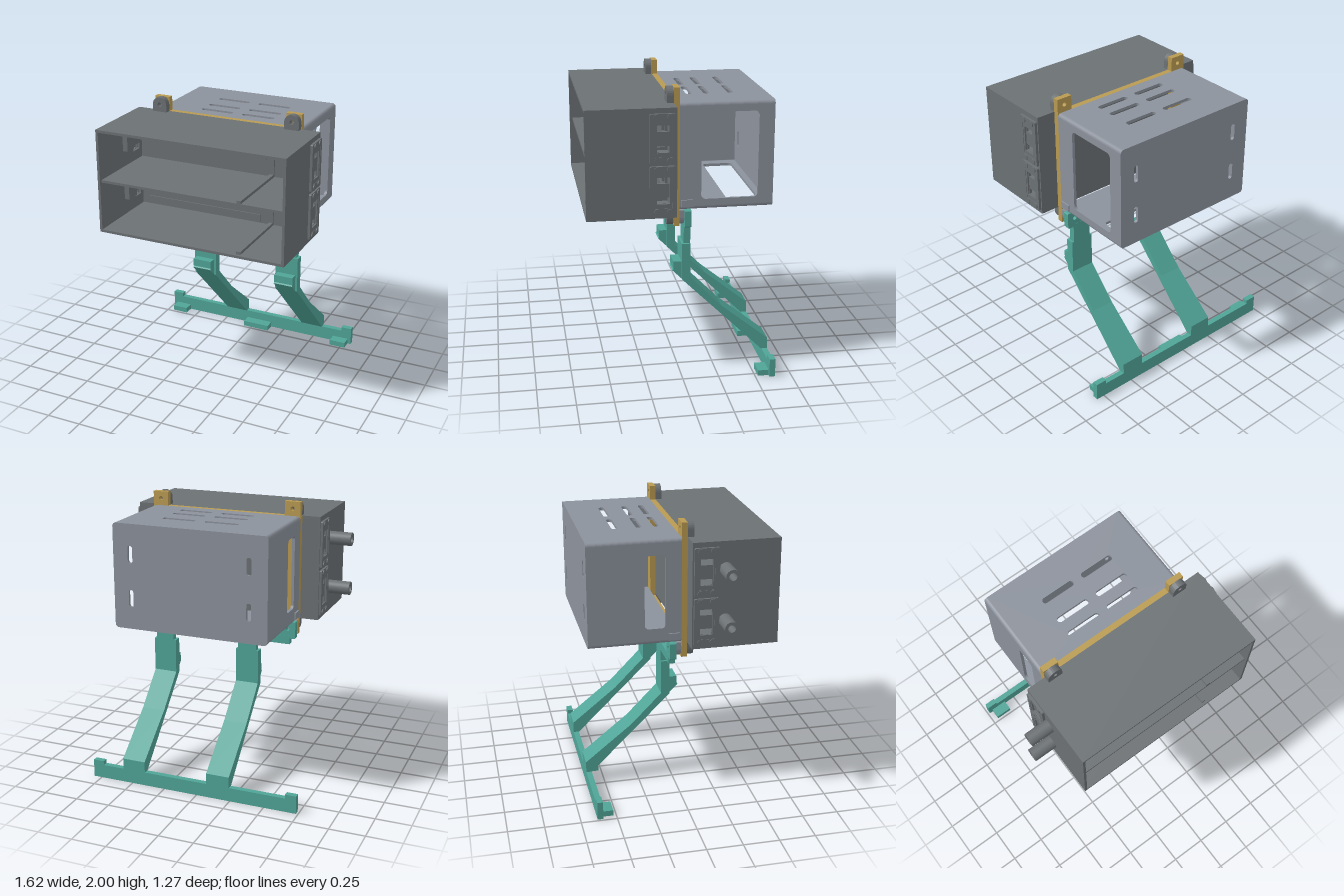
import * as THREE from 'three';

const mat = (name, color) => {
  const m = new THREE.MeshStandardMaterial({ color });
  m.name = name;
  return m;
};

// Rounded rectangle traced into a Shape or Path
function roundRect(p, u0, u1, v0, v1, r = 0) {
  if (r <= 0) {
    p.moveTo(u0, v0); p.lineTo(u1, v0); p.lineTo(u1, v1); p.lineTo(u0, v1); p.closePath();
    return p;
  }
  const q = Math.PI / 2;
  p.moveTo(u0 + r, v0);
  p.absarc(u1 - r, v0 + r, r, -q, 0);
  p.absarc(u1 - r, v1 - r, r, 0, q);
  p.absarc(u0 + r, v1 - r, r, q, 2 * q);
  p.absarc(u0 + r, v0 + r, r, 2 * q, 3 * q);
  p.closePath();
  return p;
}

// Extrude a shape from a to b along an axis: x uses (z, y), y uses (x, z), z uses (x, y)
function extrude(shape, axis, a, b) {
  const g = new THREE.ExtrudeGeometry(shape, { depth: b - a, bevelEnabled: false, curveSegments: 6 });
  const X = new THREE.Vector3(1, 0, 0), Y = new THREE.Vector3(0, 1, 0), Z = new THREE.Vector3(0, 0, 1);
  const m = new THREE.Matrix4();
  if (axis === 'x') m.makeBasis(Z, Y, X.clone().negate()).setPosition(b, 0, 0);
  else if (axis === 'y') m.makeBasis(X, Z, Y.clone().negate()).setPosition(0, b, 0);
  else m.setPosition(0, 0, a);
  return g.applyMatrix4(m);
}

export function createModel() {
  const root = new THREE.Group();
  root.name = 'mountedRack';
  const dark = mat('dark grey', 0x6c7174), light = mat('light grey', 0x8c929c);
  const tan = mat('tan', 0xb99b52), teal = mat('teal', 0x50a497);

  const add = (parent, name, geo, m) => {
    const mesh = new THREE.Mesh(geo, m);
    mesh.name = name;
    parent.add(mesh);
    return mesh;
  };
  const group = (name) => {
    const g = new THREE.Group();
    g.name = name;
    root.add(g);
    return g;
  };
  const box = (parent, name, m, x0, x1, y0, y1, z0, z1) =>
    add(parent, name, new THREE.BoxGeometry(x1 - x0, y1 - y0, z1 - z0)
      .translate((x0 + x1) / 2, (y0 + y1) / 2, (z0 + z1) / 2), m);
  const slab = (parent, name, m, axis, a, b, rect, holes = []) => {
    const s = roundRect(new THREE.Shape(), ...rect);
    holes.forEach((h) => s.holes.push(roundRect(new THREE.Path(), ...h)));
    return add(parent, name, extrude(s, axis, a, b), m);
  };
  const hole = (u, v, r) => [u - r, u + r, v - r, v + r, r];

  // Front case, open towards the front
  const front = group('frontCase');
  const x0 = -0.645, x1 = 0.725, y0 = 1.165, y1 = 1.9, t = 0.018;
  const ports = [1.7, 1.355].map((y) => [0.09, 0.175, y - 0.09, y + 0.09, 0]);
  box(front, 'caseTop', dark, x0, x1, y1 - t, y1, 0.04, 0.635);
  box(front, 'caseBottom', dark, x0, x1, y0, y0 + t, 0.04, 0.635);
  box(front, 'caseBack', dark, x0 + t, x1 - t, y0 + t, y1 - t, 0.04, 0.055);
  box(front, 'shelf', dark, x0 + t, x1 - t, 1.522, 1.54, 0.055, 0.615);
  for (const [wall, panel, a, b, c, d] of [
    ['leftWall', 'leftPortPanel', x1 - t, x1, x1, 0.742],
    ['rightWall', 'rightPortPanel', x0, x0 + t, -0.662, x0]]) {
    slab(front, wall, dark, 'x', a, b, [0.04, 0.635, y0 + t, y1 - t], ports);
    const s = c > 0 ? 1 : -1, outer = c > 0 ? d : c;
    for (const y of [1.7, 1.355]) {
      slab(front, panel, dark, 'x', c, d, [0.05, 0.22, y - 0.165, y + 0.165, 0.01],
        [[0.075, 0.19, y - 0.12, y + 0.12, 0]]);
      // Port insert, its centre block and corner screws
      slab(front, 'portFrame', dark, 'x', c + 0.003, d - 0.003, [0.075, 0.19, y - 0.12, y + 0.12],
        [[0.09, 0.175, y - 0.09, y + 0.09, 0]]);
      box(front, 'portBlock', dark, a, b, y - 0.05, y + 0.045, 0.088, 0.177);
      for (const z of [0.09, 0.175]) for (const dy of [-0.142, 0.142]) {
        add(front, 'portScrew', new THREE.CylinderGeometry(0.02, 0.02, 0.008, 16)
          .rotateZ(Math.PI / 2).translate(outer + s * 0.002, y + dy, z), dark);
      }
    }
  }
  // Compartment fittings: floor rails, ribs, stops and strips
  for (const [lo, hi] of [[y0 + t, 1.522], [1.54, y1 - t]]) {
    const mid = (lo + hi) / 2;
    box(front, 'floorRail', dark, 0.38, 0.41, lo, lo + 0.02, 0.055, 0.615);
    box(front, 'backRib', dark, 0.38, 0.41, lo, hi, 0.055, 0.07);
    box(front, 'backStop', dark, 0.315, 0.36, mid - 0.045, mid + 0.045, 0.055, 0.085);
    box(front, 'tubeBlock', dark, x0 + t, -0.59, mid - 0.055, mid + 0.055, 0.21, 0.32);
    box(front, 'cornerBlock', dark, 0.655, x1 - t, lo, lo + 0.07, 0.055, 0.08);
  }
  for (const y of [1.19, 1.805]) box(front, 'backStrip', dark, -0.57, 0.31, y, y + 0.055, 0.055, 0.063);

  // Side tubes
  for (const y of [1.71, 1.355]) {
    slab(front, 'sideTube', dark, 'x', -0.81, x0, hole(0.265, y, 0.047), [hole(0.265, y, 0.026)]);
  }

  // Lugs bolted to the tan frame
  const lugX = [-0.457, 0.535];
  const lug = (parent, x, up, a, b, m) => {
    const s = new THREE.Shape(), cy = up ? 1.95 : 1.113, flat = up ? y1 : y0;
    s.moveTo(x - 0.053, flat);
    s.lineTo(x - 0.053, cy);
    s.absarc(x, cy, 0.053, Math.PI, 0, up);
    s.lineTo(x + 0.053, flat);
    s.closePath();
    s.holes.push(roundRect(new THREE.Path(), ...hole(x, cy, 0.015)));
    add(parent, 'lug', extrude(s, 'z', a, b), m);
  };
  for (const x of lugX) {
    lug(front, x, true, 0.04, 0.085, dark);
    lug(front, x, false, 0.04, 0.085, dark);
  }

  // Mounting frame with corner tabs
  const frame = group('mountingFrame');
  slab(frame, 'frameRing', tan, 'z', 0, 0.04, [-0.515, 0.59, 1.15, 1.9], [[-0.41, 0.49, 1.151, 1.84, 0]]);
  box(frame, 'lowerBar', tan, -0.4, 0.48, 1.08, 1.15, 0, 0.04);
  for (const x of lugX) {
    slab(frame, 'upperTab', tan, 'z', 0, 0.04, [x - 0.056, x + 0.056, 1.9, 2], [hole(x, 1.95, 0.015)]);
    slab(frame, 'lowerTab', tan, 'z', 0, 0.04, [x - 0.056, x + 0.056, 1.06, 1.15], [hole(x, 1.113, 0.015)]);
  }

  // Rear cover with rounded long edges, open towards the frame
  const rear = group('rearCover');
  const r = 0.025, w = 0.02, cx0 = -0.515, cx1 = 0.59, cy0 = 1.17, zb = -0.635;
  const vents = [];
  for (const z of [-0.39, -0.225, -0.105]) for (const x of [-0.22, 0.092]) {
    vents.push([x, x + 0.243, z - 0.02, z + 0.02, 0.0199]);
  }
  slab(rear, 'coverTop', light, 'y', y1 - w, y1, [cx0 + r, cx1 - r, zb, 0], vents);
  slab(rear, 'coverBottom', light, 'y', cy0, cy0 + w, [cx0 + r, cx1 - r, zb, 0],
    [[-0.42, 0.5, -0.57, -0.35, 0.03]]);
  slab(rear, 'coverLeftWall', light, 'x', cx1 - w, cx1, [zb, 0, cy0 + r, y1 - r],
    [[-0.53, -0.145, 1.24, 1.83, 0.03]]);
  slab(rear, 'coverRightWall', light, 'x', cx0, cx0 + w, [zb, 0, cy0 + r, y1 - r],
    [[-0.25, -0.11, 1.28, 1.79, 0.025]]);
  const slots = [];
  for (const x of [-0.385, 0.465]) for (const y of [1.69, 1.385]) {
    slots.push([x - 0.017, x + 0.017, y - 0.06, y + 0.06, 0.0165]);
  }
  slab(rear, 'coverBack', light, 'z', zb, zb + w, [cx0 + 0.001, cx1 - 0.001, cy0 + 0.001, y1 - 0.001, r], slots);
  [[cx1 - r, y1 - r], [cx0 + r, y1 - r], [cx0 + r, cy0 + r], [cx1 - r, cy0 + r]].forEach(([x, y], i) => {
    const a = i * Math.PI / 2, s = new THREE.Shape();
    s.absarc(x, y, r, a, a + Math.PI / 2, false);
    s.absarc(x, y, r - w, a + Math.PI / 2, a, true);
    add(rear, 'coverCorner', extrude(s, 'z', zb, 0), light);
  });
  for (const x of lugX) lug(rear, x, false, -0.032, 0, light);
  for (const x of [cx0 - 0.01, cx1]) box(rear, 'sideNub', light, x, x + 0.01, 1.19, 1.24, -0.09, -0.01);

  // Stand: two slanted legs on a cross bar
  const stand = group('stand');
  const poly = (pts) => new THREE.Shape(pts.map(([z, y]) => new THREE.Vector2(z, y)));
  const legProfile = poly([[-0.02, 0.92], [-0.08, 0.92], [-0.08, 0.675], [-0.3, 0.45], [-0.635, 0.18],
    [-0.635, 0], [-0.597, 0], [-0.597, 0.095], [-0.02, 0.665]]);
  const knobProfile = poly([[0.035, 0.79], [-0.02, 0.79], [-0.02, 0.665], [0.043, 0.727], [0.035, 0.735]]);
  for (const x of [-0.16, 0.485]) {
    add(stand, 'leg', extrude(legProfile, 'x', x - 0.085, x + 0.085), teal);
    add(stand, 'kneeBlock', extrude(knobProfile, 'x', x - 0.07, x + 0.07), teal);
    box(stand, 'legNeck', teal, x - 0.068, x + 0.068, 0.92, 1.065, -0.08, -0.035);
  }
  box(stand, 'sideArm', teal, -0.48, -0.228, 1.003, 1.065, -0.08, -0.035);
  for (const x of [-0.462, 0.54]) {
    slab(stand, 'legLug', teal, 'z', -0.079, -0.034, [x - 0.058, x + 0.058, 1.045, 1.165, 0.01],
      [hole(x, 1.113, 0.015)]);
  }
  box(stand, 'crossBar', teal, -0.735, 0.81, 0, 0.1, -0.635, -0.595);
  for (const x of [-0.735, 0.73]) box(stand, 'barEnd', teal, x, x + 0.08, 0.1, 0.13, -0.635, -0.595);
  for (const [a, b] of [[-0.705, -0.585], [-0.065, 0.14], [0.665, 0.785]]) {
    box(stand, 'foot', teal, a, b, 0, 0.04, -0.595, -0.52);
  }
  return root;
}
